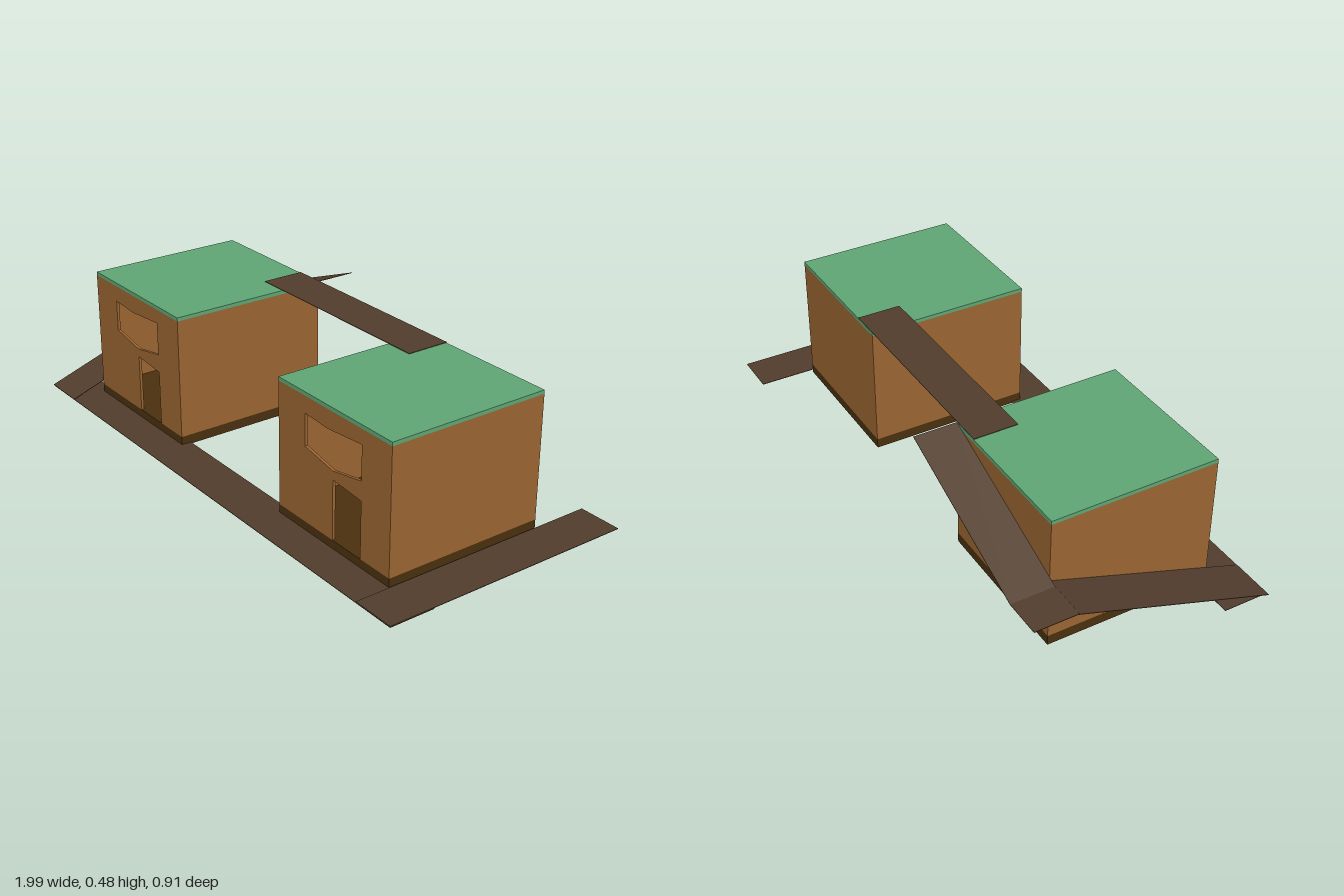
import * as THREE from 'three';

const WALL = 0x9a6432, FLOOR = 0x49300f, ROOF = 0x5fa574, PATH = 0x523d2d;
const mat = (color) => new THREE.MeshStandardMaterial({ color, flatShading: true, side: THREE.DoubleSide });
const mats = { wall: mat(WALL), floor: mat(FLOOR), roof: mat(ROOF), path: mat(PATH) };

// Box given by its minimum and maximum corners
function block(name, material, [x0, y0, z0], [x1, y1, z1]) {
  const mesh = new THREE.Mesh(new THREE.BoxGeometry(x1 - x0, y1 - y0, z1 - z0), material);
  mesh.position.set((x0 + x1) / 2, (y0 + y1) / 2, (z0 + z1) / 2);
  mesh.name = name;
  return mesh;
}

function outline(points, Type) {
  return new Type(points.map(([x, y]) => new THREE.Vector2(x, y)));
}

// Hollow hut, 0.545 wide, local x from 0 to W
function hut(name) {
  const W = 0.545, B = -0.255, F = 0.325, T = 0.01, Y0 = 0.035, Y1 = 0.462;
  const g = new THREE.Group();
  g.name = name;
  g.add(
    block('floor', mats.floor, [0, 0, B], [W, Y0, F]),
    block('roof', mats.roof, [0, Y1, B], [W, 0.475, F]),
    block('rightWall', mats.wall, [0, Y0, B], [T, Y1, F - T]),
    block('leftWall', mats.wall, [W - T, Y0, B], [W, Y1, F - T]),
    block('backWall', mats.wall, [T, Y0, B], [W - T, Y1, B + T])
  );
  // Front wall notched by the doorway, with a window hole
  const front = outline([[0, Y0], [0.275, Y0], [0.275, 0.24], [0.41, 0.23], [0.41, Y0], [W, Y0], [W, Y1], [0, Y1]], THREE.Shape);
  front.holes.push(outline([[0.135, 0.405], [0.25, 0.398], [0.41, 0.412], [0.41, 0.295], [0.275, 0.27], [0.135, 0.295]], THREE.Path));
  const wall = new THREE.Mesh(new THREE.ExtrudeGeometry(front, { depth: T, bevelEnabled: false }), mats.wall);
  wall.position.z = F - T;
  wall.name = 'frontWall';
  g.add(wall);
  return g;
}

// Thin sloping board between two centre points
function ramp(name, from, to, width) {
  const a = new THREE.Vector3(...from), b = new THREE.Vector3(...to);
  const mesh = new THREE.Mesh(new THREE.BoxGeometry(width, 0.002, a.distanceTo(b)), mats.path);
  mesh.position.copy(a).add(b).multiplyScalar(0.5);
  mesh.lookAt(b);
  mesh.name = name;
  return mesh;
}

export function createModel() {
  const model = new THREE.Group();
  model.name = 'twinHuts';

  for (const [name, x] of [['rightHut', -0.84], ['leftHut', 0.285]]) {
    const h = hut(name);
    h.position.x = x;
    model.add(h);
  }

  // Ground paths and the bridge joining the roofs
  model.add(
    block('frontPath', mats.path, [-0.99, 0.004, 0.29], [0.99, 0.006, 0.45]),
    block('sidePath', mats.path, [0.835, 0.007, -0.455], [0.99, 0.009, 0.45]),
    block('roofBridge', mats.path, [-0.4, 0.476, -0.255], [0.39, 0.478, -0.1])
  );

  // Ramp climbing beside the hut, corner landing, then ramp behind up to the roof
  model.add(
    ramp('sideRamp', [-0.92, 0.006, 0.45], [-0.92, 0.255, -0.26], 0.16),
    block('landing', mats.path, [-1, 0.254, -0.405], [-0.87, 0.256, -0.255]),
    ramp('backRamp', [-0.87, 0.255, -0.33], [-0.295, 0.474, -0.33], 0.15)
  );
  return model;
}
